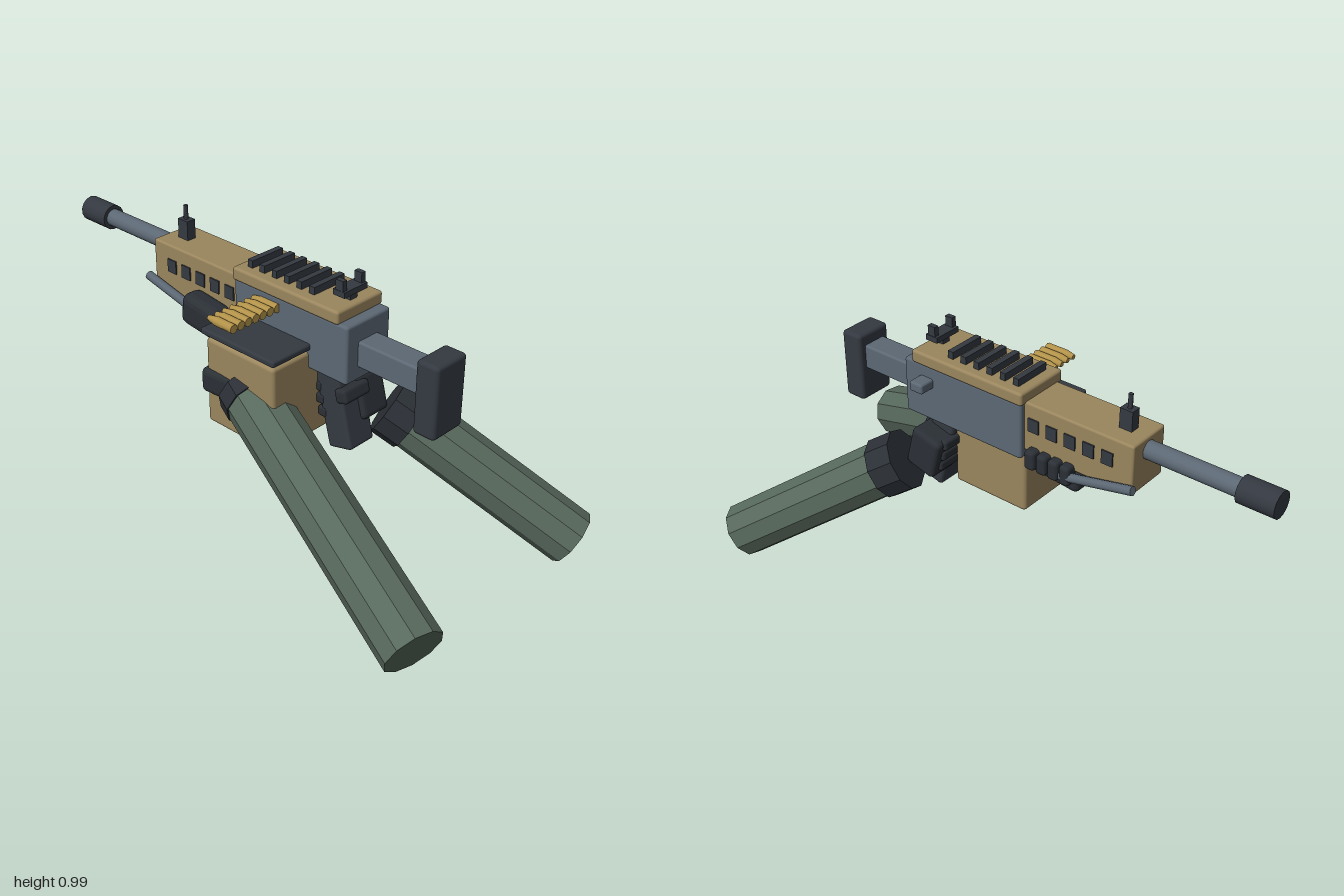
import * as THREE from 'three';
import { RoundedBoxGeometry } from 'three/addons/geometries/RoundedBoxGeometry.js';

const mat = (name, color, flatShading = false) => {
  const m = new THREE.MeshStandardMaterial({ color, flatShading });
  m.name = name;
  return m;
};

export function createModel() {
  const group = new THREE.Group();
  const tan = mat('tan', 0x9a865e);
  const steel = mat('blue grey steel', 0x5c6874);
  const dark = mat('dark polymer', 0x343941);
  const glove = mat('glove black', 0x2b3036, true);
  const sleeve = mat('green sleeve', 0x57685c, true);
  const brass = mat('brass', 0xb3934a);

  const add = (name, geo, material) => {
    const m = new THREE.Mesh(geo, material);
    m.name = name;
    group.add(m);
    return m;
  };
  // Box given by its extents, with softly rounded edges when r > 0
  const box = (name, material, [x0, x1], [y0, y1], [z0, z1], r = 0) => {
    const s = [x1 - x0, y1 - y0, z1 - z0];
    const geo = r ? new RoundedBoxGeometry(...s, 2, r) : new THREE.BoxGeometry(...s);
    const m = add(name, geo, material);
    m.position.set((x0 + x1) / 2, (y0 + y1) / 2, (z0 + z1) / 2);
    return m;
  };
  // Cylinder running from point a to point b
  const rod = (name, material, a, b, r, sides = 12, rEnd = r) => {
    const p = new THREE.Vector3(...a), q = new THREE.Vector3(...b);
    const d = q.clone().sub(p);
    const m = add(name, new THREE.CylinderGeometry(rEnd, r, d.length(), sides), material);
    m.position.copy(p).add(q).multiplyScalar(0.5);
    m.quaternion.setFromUnitVectors(new THREE.Vector3(0, 1, 0), d.normalize());
    return m;
  };
  const cx = 0.01; // centre line of the gun

  // Body, cover and handguard
  box('receiver', steel, [-0.09, 0.112], [0.67, 0.875], [-0.13, 0.365], 0.01);
  box('topCover', tan, [-0.095, 0.117], [0.87, 0.917], [-0.135, 0.328], 0.01);
  box('handguard', tan, [-0.075, 0.092], [0.7, 0.88], [-0.545, -0.12], 0.008);
  box('chargingHandle', steel, [0.1, 0.168], [0.796, 0.832], [0.24, 0.296], 0.008);
  for (let i = 0; i < 5; i++) {
    const z = -0.168 - i * 0.071;
    for (const [x0, x1] of [[-0.08, -0.074], [0.091, 0.097]])
      box('vent', dark, [x0, x1], [0.78, 0.828], [z - 0.021, z + 0.021]);
  }

  // Cover rail
  for (let i = 0; i < 6; i++) {
    const z = -0.087 + i * 0.0545;
    box('railRib', dark, [-0.058, 0.082], [0.91, 0.943], [z - 0.011, z + 0.011]);
  }

  // Barrel and stock
  rod('barrel', steel, [cx, 0.832, -0.5], [cx, 0.832, -0.9], 0.032, 14);
  rod('muzzle', dark, [cx, 0.832, -0.872], [cx, 0.832, -1], 0.046, 14);
  box('stockTube', steel, [-0.037, 0.056], [0.717, 0.808], [0.35, 0.62], 0.008);
  box('buttPad', dark, [-0.059, 0.082], [0.595, 0.852], [0.607, 0.692], 0.014);

  // Sights
  box('frontSightBase', dark, [-0.008, 0.028], [0.87, 0.95], [-0.492, -0.445]);
  rod('frontSightPost', dark, [cx, 0.94, -0.47], [cx, 1, -0.47], 0.008, 8);
  box('rearSightStem', dark, [-0.006, 0.026], [0.91, 0.945], [0.268, 0.3]);
  box('rearSightBase', dark, [-0.043, 0.064], [0.938, 0.958], [0.26, 0.308]);
  for (const x of [-0.033, 0.053])
    box('rearSightPost', dark, [x - 0.009, x + 0.009], [0.95, 0.993], [0.27, 0.3]);

  // Ammunition box, lid and belt
  box('ammoBox', tan, [-0.25, 0.05], [0.415, 0.73], [-0.1, 0.205], 0.014);
  box('ammoLid', dark, [-0.256, 0.02], [0.738, 0.761], [-0.12, 0.212], 0.008);
  for (let i = 0; i < 7; i++) {
    const x = -0.289 + i * 0.0321;
    rod('cartridge', brass, [x, 0.84, 0.075], [x, 0.84, -0.005], 0.0155, 10);
    rod('cartridgeTip', brass, [x, 0.84, -0.005], [x, 0.84, -0.037], 0.0155, 10, 0.009);
  }

  // Folded bipod legs
  for (const x of [cx - 0.102, cx + 0.1])
    rod('bipodLeg', steel, [x, 0.678, -0.29], [x, 0.74, -0.562], 0.016, 8);

  // Slanted pistol grip and the hand around it
  const grip = box('pistolGrip', dark, [-0.047, 0.07], [0.385, 0.69], [0.22, 0.32], 0.012);
  const palm = box('rightHand', glove, [0.025, 0.148], [0.465, 0.622], [0.21, 0.335], 0.018);
  const thumb = box('rightThumb', glove, [-0.06, 0.06], [0.57, 0.62], [0.29, 0.34], 0.012);
  for (const part of [grip, palm, thumb]) part.rotation.x = -0.26;
  for (let i = 0; i < 3; i++) {
    const y = 0.59 - i * 0.045;
    box('rightFinger', glove, [-0.05, 0.12], [y - 0.019, y + 0.019],
      [0.185 + i * 0.012, 0.225 + i * 0.012], 0.01);
  }

  // Forearms with glove cuffs
  rod('rightCuff', glove, [0.15, 0.495, 0.345], [0.188, 0.445, 0.42], 0.11, 10);
  rod('rightForearm', sleeve, [0.17, 0.47, 0.385], [0.44, 0.089, 0.917], 0.1, 10);
  rod('leftCuff', glove, [-0.18, 0.56, 0.02], [-0.196, 0.537, 0.075], 0.108, 10);
  rod('leftForearm', sleeve, [-0.19, 0.546, 0.05], [-0.434, 0.177, 0.952], 0.102, 10);

  // Left fingers pressed against the ammunition box
  box('leftHand', glove, [-0.262, -0.15], [0.53, 0.62], [-0.118, 0.04], 0.02)
    .rotation.y = 0.1;

  // Gloved hand under the handguard
  box('supportPalm', glove, [-0.152, -0.065], [0.645, 0.762], [-0.34, -0.165], 0.03)
    .rotation.x = 0.12;
  box('supportUnderside', glove, [-0.11, 0.1], [0.63, 0.705], [-0.35, -0.15], 0.02)
    .rotation.x = -0.1;
  for (let i = 0; i < 4; i++) {
    const z = -0.172 - i * 0.046;
    box('supportFinger', glove, [0.07, 0.126], [0.655, 0.725], [z - 0.02, z + 0.02], 0.012);
  }
  return group;
}
